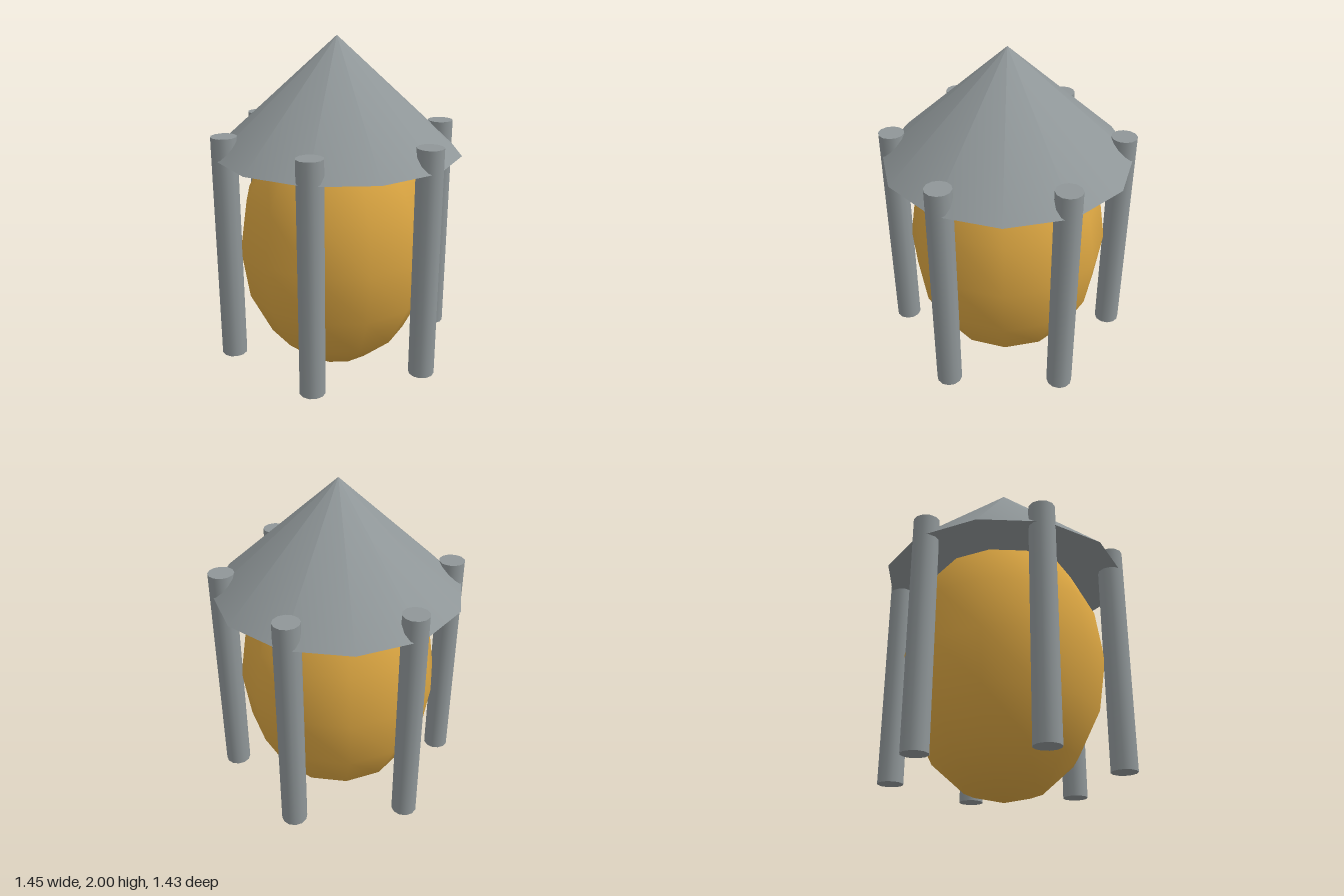
import * as THREE from 'three';

export function createModel() {
  const model = new THREE.Group();
  const metal = new THREE.MeshStandardMaterial({ color: 0x8f9698 });
  metal.name = 'grey metal';
  const gold = new THREE.MeshStandardMaterial({ color: 0xd9a441 });
  gold.name = 'warm gold';

  const add = (name, geometry, material, x, y, z) => {
    const mesh = new THREE.Mesh(geometry, material);
    mesh.name = name;
    mesh.position.set(x, y, z);
    model.add(mesh);
    return mesh;
  };

  // Egg-shaped body, a stretched low-poly sphere
  const bodyShape = new THREE.SphereGeometry(1, 12, 8);
  bodyShape.scale(0.587, 0.785, 0.587);
  add('body', bodyShape, gold, 0, 0.79, 0);

  // Conical roof with a closed underside
  add('roof', new THREE.ConeGeometry(0.717, 0.65, 12), metal, 0, 1.675, 0);

  // Ring of six posts cutting through the roof edge
  const postShape = new THREE.CylinderGeometry(0.074, 0.074, 1.34, 12);
  for (let i = 0; i < 6; i++) {
    const a = (i * Math.PI) / 3;
    add('post' + (i + 1), postShape, metal, 0.653 * Math.cos(a), 0.808, 0.653 * Math.sin(a));
  }
  return model;
}
